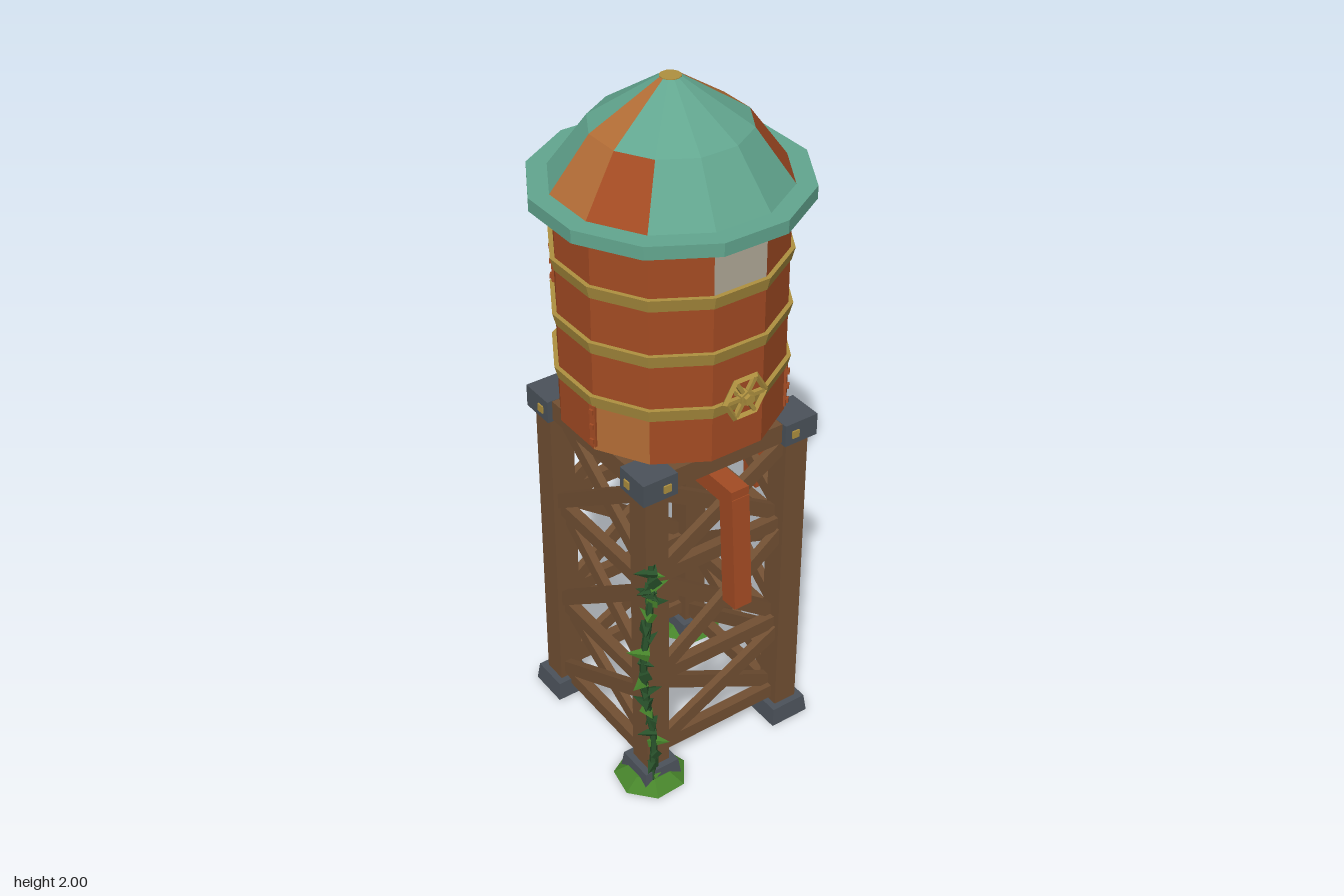
import * as THREE from 'three';

const mat = (name, color, double = false) => {
  const m = new THREE.MeshStandardMaterial({ color, flatShading: true });
  m.name = name;
  if (double) m.side = THREE.DoubleSide;
  return m;
};

export function createModel() {
  const M = {
    rust: mat('rust', 0xa34b23),
    copper: mat('copper', 0xb36d36),
    teal: mat('teal', 0x62a68f),
    brass: mat('brass', 0xae903f),
    wood: mat('wood', 0x725033),
    iron: mat('iron', 0x4b525a),
    plate: mat('pale plate', 0xb2aa98),
    leaf: mat('leaf', 0x47842b, true),
    vine: mat('vine', 0x28502a),
  };
  const root = new THREE.Group();
  const group = (name, parent = root) => {
    const g = new THREE.Group();
    g.name = name;
    parent.add(g);
    return g;
  };
  const add = (name, geo, material, x = 0, y = 0, z = 0, parent = root) => {
    const mesh = new THREE.Mesh(geo, material);
    mesh.name = name;
    mesh.position.set(x, y, z);
    parent.add(mesh);
    return mesh;
  };
  const box = (name, w, h, d, material, x, y, z, parent) =>
    add(name, new THREE.BoxGeometry(w, h, d), material, x, y, z, parent);
  // Square bar running between two points
  const bar = (name, a, b, w, d, material, parent, extra = 0) => {
    const A = new THREE.Vector3(...a), B = new THREE.Vector3(...b);
    const dir = B.clone().sub(A);
    const m = box(name, w, dir.length() + extra, d, material, 0, 0, 0, parent);
    m.position.copy(A).add(B).multiplyScalar(0.5);
    m.quaternion.setFromUnitVectors(new THREE.Vector3(0, 1, 0), dir.normalize());
    return m;
  };

  // Twelve-sided ring of flat facets; facet k faces the direction 30k degrees from +x to +z
  const C15 = Math.cos(Math.PI / 12);
  const facets = (name, r0, y0, r1, y1, base, special = {}) => {
    const mats = [base], pos = [];
    const geo = new THREE.BufferGeometry();
    const p = (deg, r, y) => {
      const a = deg * Math.PI / 180;
      return [Math.cos(a) * r / C15, y, Math.sin(a) * r / C15];
    };
    for (let k = 0; k < 12; k++) {
      const l = k * 30 + 15, r = k * 30 - 15;
      const a = p(l, r0, y0), b = p(r, r0, y0), c = p(r, r1, y1), d = p(l, r1, y1);
      pos.push(...a, ...b, ...c, ...a, ...c, ...d);
      const m = special[k] || base;
      if (!mats.includes(m)) mats.push(m);
      geo.addGroup(k * 6, 6, mats.indexOf(m));
    }
    geo.setAttribute('position', new THREE.Float32BufferAttribute(pos, 3));
    geo.computeVertexNormals();
    return add(name, geo, mats);
  };
  const drum = (name, top, bottom, h, material, y) => {
    const m = add(name, new THREE.CylinderGeometry(top / C15, bottom / C15, h, 12), material, 0, y, 0);
    m.rotation.y = Math.PI / 12;
    return m;
  };

  // Tank: four rows of panels, floor, and tilted hoops
  const T = 0.293, rows = [1.07, 1.22, 1.38, 1.54, 1.71];
  const patches = [
    { 1: M.copper, 5: M.copper },
    { 9: M.copper, 10: M.copper },
    {},
    { 3: M.plate, 11: M.copper },
  ];
  patches.forEach((s, i) => facets('tankPanels', T, rows[i], T, rows[i + 1], M.rust, s));
  drum('tankFloor', T - 0.001, T - 0.001, 0.01, M.rust, 1.075);
  for (const y of rows.slice(1, 4)) drum('hoop', 0.305, 0.296, 0.036, M.brass, y + 0.002);

  // Riveted seam straps: [corner angle, row]
  for (const [deg, row] of [[45, 0], [165, 0], [255, 1], [315, 1], [225, 2], [345, 2], [285, 3]]) {
    const a = deg * Math.PI / 180, g = group('seamStrap');
    g.position.set(Math.cos(a) * 0.302, (rows[row] + rows[row + 1]) / 2, Math.sin(a) * 0.302);
    g.rotation.y = Math.PI / 2 - a;
    box('strap', 0.018, 0.125, 0.012, M.rust, 0, 0, 0, g);
    for (const y of [-0.045, 0, 0.045]) box('rivet', 0.012, 0.014, 0.012, M.rust, 0, y, 0.006, g);
  }

  // Six-sided gauge window
  const gauge = add('gaugeWindow', new THREE.CylinderGeometry(0.045, 0.045, 0.009, 6), M.plate,
    (T + 0.003) * Math.cos(Math.PI / 6), 1.615, (T + 0.003) * 0.5);
  gauge.rotation.set(Math.PI / 2, 0, -Math.PI / 3, 'YXZ');
  gauge.rotation.y = Math.PI / 3;
  gauge.rotation.z = 0;

  // Roof
  drum('roofBrim', 0.352, 0.352, 0.036, M.teal, 1.719);
  facets('roofLower', 0.3, 1.737, 0.2, 1.88, M.teal,
    { 0: M.copper, 6: M.copper, 1: M.rust, 5: M.rust, 9: M.rust });
  facets('roofUpper', 0.2, 1.88, 0.027, 1.998, M.teal, { 0: M.copper, 6: M.copper });
  drum('roofCap', 0.027, 0.027, 0.008, M.brass, 1.996);

  // Hand wheels
  const handWheel = (x, y, z, turn) => {
    const g = group('handWheel');
    g.position.set(x, y, z);
    g.rotation.y = turn;
    add('rim', new THREE.TorusGeometry(0.062, 0.009, 4, 6), M.brass, 0, 0, 0.03, g);
    for (let i = 0; i < 3; i++) {
      const s = box('spoke', 0.12, 0.011, 0.011, M.brass, 0, 0, 0.03, g);
      s.rotation.z = i * Math.PI / 3;
    }
    const stem = add('stem', new THREE.CylinderGeometry(0.015, 0.015, 0.06, 6), M.brass, 0, 0, 0.022, g);
    stem.rotation.x = Math.PI / 2;
    const hub = add('hub', new THREE.CylinderGeometry(0.022, 0.022, 0.018, 6), M.brass, 0, 0, 0.032, g);
    hub.rotation.x = Math.PI / 2;
  };
  handWheel(0, 1.255, T, 0);
  handWheel(T, 1.38, 0, Math.PI / 2);

  // Outlet pipes
  const pipe = (name, pts) => {
    const g = group(name);
    for (let i = 0; i + 1 < pts.length; i++) bar('pipeRun', pts[i], pts[i + 1], 0.056, 0.056, M.rust, g, i === 1 ? 0.05 : 0);
  };
  pipe('frontPipe', [[0, 1.08, 0.08], [0, 0.93, 0.08], [0, 0.93, 0.288], [0, 0.58, 0.312]]);
  pipe('sidePipe', [[0.08, 1.08, 0], [0.08, 0.948, 0], [0.288, 0.948, 0], [0.304, 0.665, 0]]);

  // Corner legs with iron feet and caps
  const L = 0.225;
  for (const sx of [-1, 1]) for (const sz of [-1, 1]) {
    box('leg', 0.072, 0.98, 0.072, M.wood, sx * L, 0.52, sz * L);
    const foot = add('foot', new THREE.CylinderGeometry(0.078, 0.087, 0.055, 4), M.iron, sx * L, 0.0275, sz * L);
    foot.rotation.y = Math.PI / 4;
    box('legCap', 0.105, 0.066, 0.105, M.iron, sx * L, 1.032, sz * L);
    box('capBolt', 0.022, 0.022, 0.006, M.brass, sx * (L - 0.02), 1.03, sz * (L + 0.054));
    box('capBolt', 0.006, 0.022, 0.022, M.brass, sx * (L + 0.054), 1.03, sz * (L - 0.02));
  }

  // Braced sides: rails, crossed diagonals and top beam
  for (let i = 0; i < 4; i++) {
    const g = group('bracedSide');
    g.rotation.y = i * Math.PI / 2;
    const drop = i % 2 ? 0.03 : 0;
    const rails = [0.09, 0.355, 0.71, 1.01].map((y, k) => (k < 3 ? y - drop : y));
    rails.slice(0, 3).forEach(y => box('rail', 0.4, 0.042, 0.03, M.wood, 0, y, L, g));
    box('topBeam', 0.36, 0.06, 0.075, M.wood, 0, 1.034, L, g);
    for (let k = 0; k < 3; k++) {
      const a = rails[k] + 0.025, b = rails[k + 1] - 0.03;
      bar('brace', [-0.2, a, L + 0.012], [0.2, b, L + 0.012], 0.042, 0.022, M.wood, g);
      bar('brace', [0.2, a, L - 0.012], [-0.2, b, L - 0.012], 0.042, 0.022, M.wood, g);
    }
  }
  // Joists under the tank
  for (const x of [-0.1, 0.1]) box('joist', 0.06, 0.05, 0.42, M.wood, x, 1.042, 0);

  // Moss around two feet
  for (const s of [-1, 1]) {
    const moss = add('moss', new THREE.CylinderGeometry(0.06, 0.105, 0.028, 7), M.leaf, s * 0.232, 0.014, -s * 0.232);
    moss.rotation.y = s * 0.4;
  }

  // Climbing vine on the front corner leg
  const vine = group('vine');
  const at = t => new THREE.Vector3(-0.262 + 0.018 * Math.sin(t * 8), t * 0.79, 0.268 + 0.008 * Math.cos(t * 9));
  const path = new THREE.CatmullRomCurve3([0, 0.2, 0.4, 0.6, 0.8, 1].map(at));
  add('vineStem', new THREE.TubeGeometry(path, 20, 0.011, 5), M.vine, 0, 0, 0, vine);
  for (let i = 0; i < 26; i++) {
    const t = i < 18 ? 0.05 + i * 0.05 : 0.86 + (i - 18) * 0.016;
    const p = at(t), a = i * 2.4;
    const size = 0.032 + 0.012 * Math.abs(Math.sin(i * 1.7));
    const leaf = add('vineLeaf', new THREE.ConeGeometry(size * 0.5, size * 1.4, 4), i % 3 ? M.vine : M.leaf,
      p.x + Math.cos(a) * 0.022, p.y, p.z + Math.sin(a) * 0.012, vine);
    leaf.quaternion.setFromUnitVectors(new THREE.Vector3(0, 1, 0),
      new THREE.Vector3(Math.cos(a), 0.15, Math.sin(a)).normalize());
  }
  return root;
}
